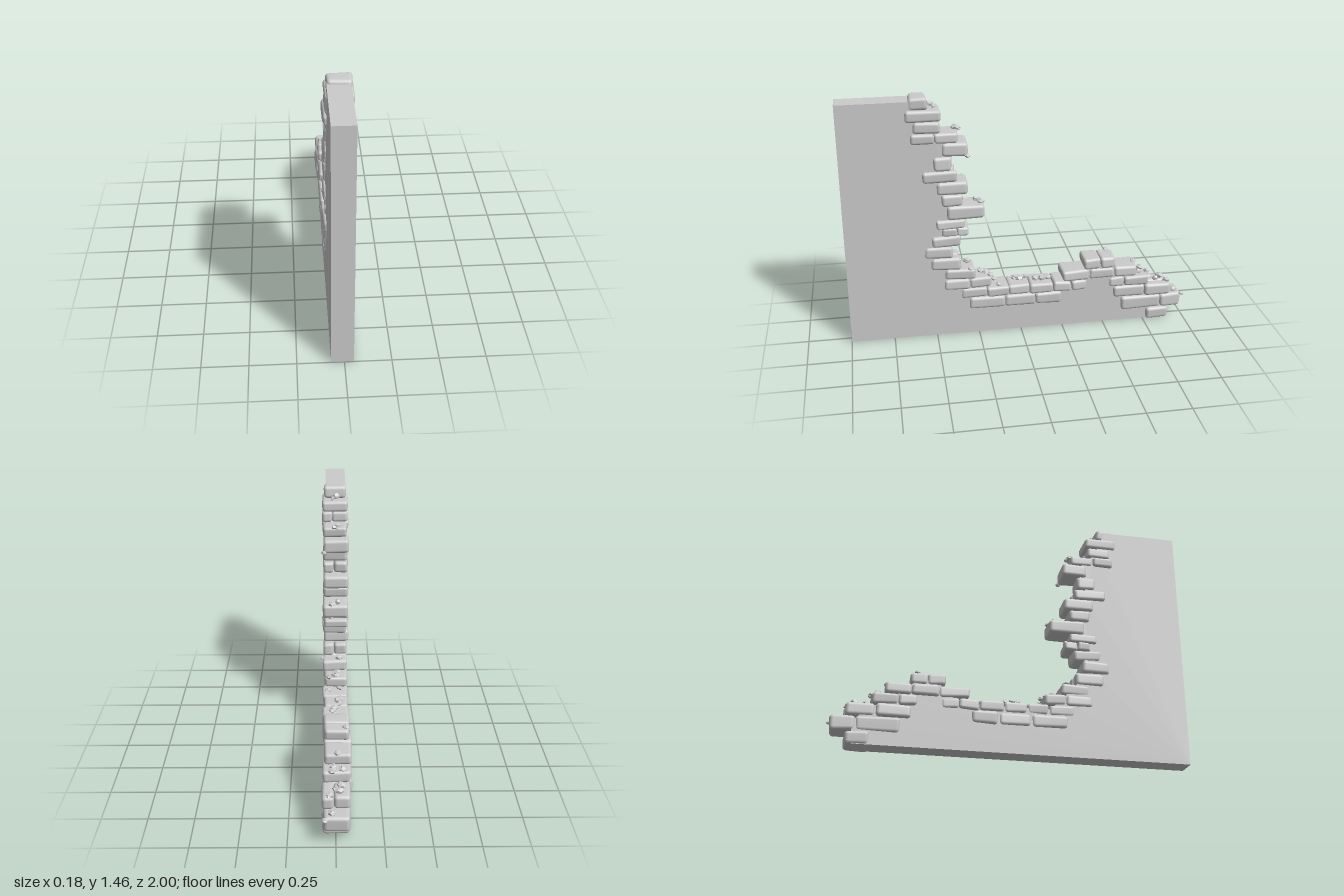
import * as THREE from 'three';
import { mergeVertices } from 'three/addons/utils/BufferGeometryUtils.js';
import { RoundedBoxGeometry } from 'three/addons/geometries/RoundedBoxGeometry.js';

// Broken edge of the plain wall: [z, y]
const EDGE = [
  [-0.86, 0.005], [-0.87, 0.12], [-0.8, 0.2], [-0.66, 0.27], [-0.6, 0.33], [-0.52, 0.39],
  [-0.43, 0.39], [-0.36, 0.33], [-0.3, 0.27], [0.2, 0.27], [0.27, 0.33], [0.33, 0.4],
  [0.4, 0.47], [0.43, 0.54], [0.4, 0.61], [0.38, 0.67], [0.37, 0.72], [0.36, 0.78],
  [0.39, 0.86], [0.4, 0.93], [0.43, 1.0], [0.43, 1.08], [0.37, 1.16], [0.45, 1.23],
  [0.5, 1.29], [0.53, 1.36], [0.56, 1.44],
];

// Stone courses: bottom y, top y, then the z ends of neighbouring stones
const COURSES = [
  [1.39, 1.46, [0.61, 0.51]],
  [1.325, 1.39, [0.63, 0.44]],
  [1.26, 1.325, [0.59, 0.445]],
  [1.2, 1.258, [0.605, 0.48, 0.35]],
  [1.12, 1.198, [0.44, 0.295]],
  [1.038, 1.12, [0.49, 0.385]],
  [0.97, 1.037, [0.55, 0.36]],
  [0.895, 0.97, [0.475, 0.3]],
  [0.825, 0.895, [0.45, 0.33]],
  [0.743, 0.825, [0.42, 0.21]],
  [0.69, 0.742, [0.485, 0.32]],
  [0.64, 0.692, [0.45, 0.37, 0.3]],
  [0.58, 0.645, [0.51, 0.35]],
  [0.505, 0.577, [0.555, 0.395]],
  [0.43, 0.505, [0.52, 0.35]],
  [0.365, 0.43, [0.44, 0.27]],
  [0.3, 0.365, [0.45, 0.3, 0.175]],
  [0.237, 0.3, [0.35, 0.2, 0.075, -0.05, -0.19, -0.3, -0.395]],
  [0.163, 0.238, [0.305, 0.095, -0.085, -0.24]],
  [0.3, 0.365, [-0.245, -0.41, -0.56, -0.7]],
  [0.365, 0.432, [-0.375, -0.475, -0.565]],
  [0.237, 0.3, [-0.53, -0.625, -0.77]],
  [0.163, 0.238, [-0.56, -0.75, -0.91]],
  [0.077, 0.163, [-0.61, -0.85, -0.98]],
  [0.003, 0.077, [-0.77, -0.9]],
];

// Loose chips resting on the stones: x, y, z, radius
const CHIPS = [
  [-0.01, 1.41, 0.49, 0.025], [0.01, 1.4, 0.475, 0.015],
  [-0.02, 1.265, 0.36, 0.028], [0.0, 1.265, 0.345, 0.018], [0.06, 1.125, 0.3, 0.018],
  [-0.02, 0.835, 0.25, 0.026], [0.015, 0.83, 0.225, 0.022],
  [-0.03, 0.44, 0.31, 0.025], [0.075, 0.44, 0.3, 0.016],
  [-0.02, 0.375, 0.23, 0.026], [0.0, 0.37, 0.2, 0.022], [0.03, 0.37, 0.18, 0.02],
  [-0.03, 0.31, 0.15, 0.022], [0.04, 0.305, 0.13, 0.02],
  [-0.03, 0.31, 0.03, 0.022], [-0.02, 0.31, 0.0, 0.027], [-0.03, 0.31, -0.04, 0.025],
  [0.0, 0.305, -0.09, 0.025], [0.01, 0.31, -0.13, 0.024], [0.0, 0.305, -0.17, 0.024],
  [-0.055, 0.435, -0.53, 0.02],
  [-0.01, 0.37, -0.69, 0.022], [0.01, 0.305, -0.72, 0.026], [-0.04, 0.305, -0.74, 0.026],
  [0.02, 0.31, -0.77, 0.022], [-0.03, 0.245, -0.8, 0.026], [0.0, 0.245, -0.83, 0.024],
  [-0.02, 0.25, -0.86, 0.028], [0.03, 0.245, -0.89, 0.024], [0.02, 0.17, -0.94, 0.026],
  [0.055, 0.155, -0.983, 0.017],
];

let seed = 7;
const rand = (a, b) => {
  seed = (seed * 16807) % 2147483647;
  return a + (b - a) * (seed / 2147483647);
};

// Moves every shared vertex by a rule and rebuilds the normals
function reshape(geometry, rule) {
  geometry.deleteAttribute('normal');
  geometry.deleteAttribute('uv');
  const g = mergeVertices(geometry, 1e-5);
  const p = g.attributes.position;
  const v = new THREE.Vector3();
  for (let i = 0; i < p.count; i++) {
    rule(v.fromBufferAttribute(p, i));
    p.setXYZ(i, v.x, v.y, v.z);
  }
  g.computeVertexNormals();
  return g;
}

// Worn stone block, slightly skewed and tapered
function stoneGeometry(w, h, d) {
  const box = new RoundedBoxGeometry(w, h, d, 3, Math.min(0.02, h * 0.28));
  const [a, b, c, e] = [0, 0, 0, 0].map(() => rand(-1, 1));
  return reshape(box, (v) => {
    const nx = v.x / w, ny = v.y / h, nz = v.z / d;
    v.x += 0.012 * (a * nx * nz + b * ny * nx);
    v.y += 0.01 * (c * nz * ny + e * nx * nz);
    v.z += 0.014 * (b * nx * nz + a * ny * nz);
  });
}

export function createModel() {
  const model = new THREE.Group();
  model.name = 'ruinedWall';
  const smooth = new THREE.MeshStandardMaterial({ color: 0xcccccc });
  const faceted = new THREE.MeshStandardMaterial({ color: 0xcccccc, flatShading: true });

  // Plain wall slab
  const outline = [[1, 0.005], ...EDGE, [1, 1.44]].map(([z, y]) => new THREE.Vector2(-z, y));
  const slab = new THREE.ExtrudeGeometry(new THREE.Shape(outline), { depth: 0.12, bevelEnabled: false });
  slab.rotateY(Math.PI / 2).translate(-0.07, 0, 0);
  const wall = new THREE.Mesh(slab, faceted);
  wall.name = 'wallSlab';
  model.add(wall);

  // Exposed stones along the broken edge
  const stones = new THREE.Group();
  stones.name = 'edgeStones';
  const addStone = (x0, x1, y0, y1, z0, z1) => {
    const stone = new THREE.Mesh(stoneGeometry(x1 - x0, y1 - y0, z0 - z1), smooth);
    stone.position.set((x0 + x1) / 2, (y0 + y1) / 2, (z0 + z1) / 2);
    stone.name = 'stone';
    stones.add(stone);
  };
  COURSES.forEach(([y0, y1, ends], row) => {
    for (let i = 0; i < ends.length - 1; i++) {
      const left = row === 0 ? 0.058 : rand(0.058, 0.073);
      const right = row === 0 ? -0.07 : rand(-0.088, -0.074);
      if (row % 4 === 2) {
        // Two stones side by side through the thickness
        const joint = rand(0, 0.015);
        addStone(right, joint, y0, y1, ends[i], ends[i + 1] + 0.008);
        addStone(joint, left, y0, y1, ends[i], ends[i + 1]);
      } else addStone(right, left, y0, y1, ends[i], ends[i + 1]);
    }
  });
  model.add(stones);

  // Rubble chips
  const rubble = new THREE.Group();
  rubble.name = 'rubble';
  for (const [x, y, z, r] of CHIPS) {
    const g = reshape(new THREE.DodecahedronGeometry(r, 0), (v) => v.multiplyScalar(rand(0.75, 1.1)));
    const chip = new THREE.Mesh(g, faceted);
    chip.name = 'chip';
    chip.position.set(x, y, z);
    chip.scale.set(1, 0.7, rand(0.7, 1.1));
    chip.rotation.set(rand(-0.4, 0.4), rand(0, 6), rand(-0.4, 0.4));
    rubble.add(chip);
  }
  model.add(rubble);
  return model;
}
